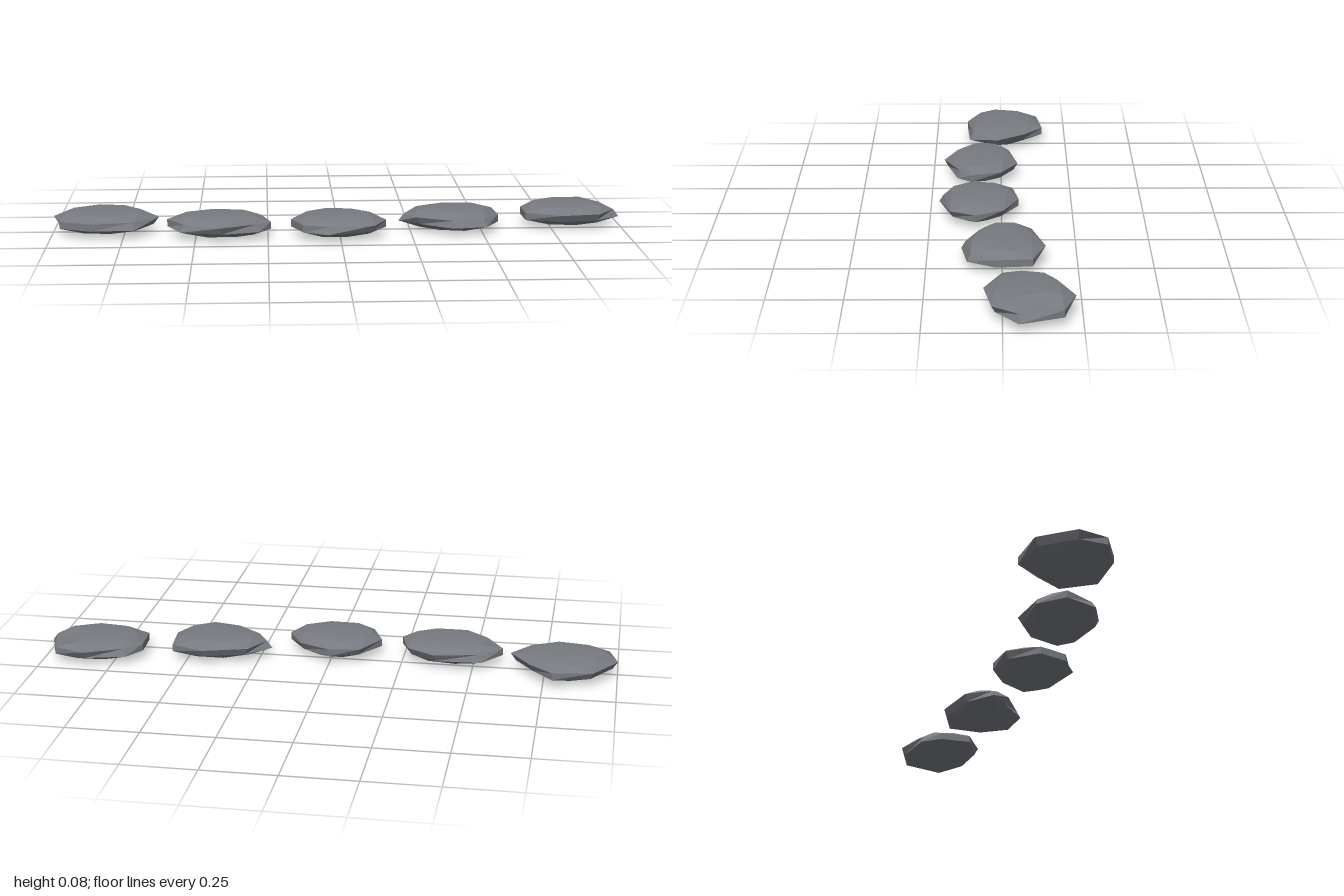
import * as THREE from 'three';

// Each stone: outline seen from above [x, z], and where its rim sticks out
// at each corner: U = upper edge, L = lower edge, B = both (upright facet).
const stones = [
  { rim: 'UUBUULBB', outline: [[-1, -0.02], [-0.92, -0.14], [-0.78, -0.16], [-0.7, -0.09], [-0.63, 0.01], [-0.71, 0.12], [-0.86, 0.13], [-0.97, 0.08]] },
  { rim: 'BLUUBLUL', outline: [[-0.6, 0.05], [-0.53, -0.04], [-0.37, -0.06], [-0.27, 0], [-0.24, 0.11], [-0.28, 0.16], [-0.41, 0.21], [-0.55, 0.16]] },
  { rim: 'BUBUBULB', outline: [[-0.17, 0.07], [-0.11, -0.04], [0, -0.06], [0.11, -0.01], [0.16, 0.09], [0.12, 0.18], [-0.045, 0.22], [-0.13, 0.17]] },
  { rim: 'LUUBBLLU', outline: [[0.21, -0.01], [0.28, -0.1], [0.435, -0.145], [0.55, -0.1], [0.56, 0.02], [0.51, 0.115], [0.39, 0.135], [0.27, 0.06]] },
  { rim: 'BLUBLUUB', dent: 3, outline: [[0.655, -0.11], [0.7, -0.18], [0.84, -0.23], [0.95, -0.19], [1, -0.05], [0.92, 0.035], [0.78, 0.06], [0.66, 0]] },
];

// Rings from bottom to top; shift staggers the corners along the outline
const rings = [
  { scale: 0.3, y: 0.005, shift: 0 },
  { scale: 0.72, y: 0.012, shift: 0.5 },
  { scale: 1, y: 0.03, shift: 1, inset: 'U' },
  { scale: 1, y: 0.055, shift: 1, inset: 'L' },
  { scale: 0.8, y: 0.074, shift: 1.5, top: true },
  { scale: 0.42, y: 0.08, shift: 2 },
];

function stoneGeometry({ outline, rim, dent }) {
  const n = outline.length;
  const cx = outline.reduce((s, p) => s + p[0], 0) / n;
  const cz = outline.reduce((s, p) => s + p[1], 0) / n;
  const positions = [cx, 0.001, cz];
  rings.forEach(({ scale, y, shift, inset, top }) => {
    for (let i = 0; i < n; i++) {
      const k = Math.floor(i + shift) % n;
      const f = shift % 1;
      const a = outline[k], b = outline[(k + 1) % n];
      let s = rim[k] === inset ? scale * 0.9 : scale;
      let h = y;
      // a chipped shoulder
      if (top && k === dent) { s *= 0.85; h -= 0.01; }
      positions.push(
        cx + (a[0] + (b[0] - a[0]) * f - cx) * s,
        h,
        cz + (a[1] + (b[1] - a[1]) * f - cz) * s);
    }
  });
  const apex = positions.length / 3;
  positions.push(cx, 0.082, cz);

  const index = [];
  const last = 1 + (rings.length - 1) * n;
  for (let i = 0; i < n; i++) {
    const j = (i + 1) % n;
    index.push(0, 1 + i, 1 + j, apex, last + j, last + i);
    for (let r = 0; r < rings.length - 1; r++) {
      const a = 1 + r * n, b = a + n;
      index.push(a + i, b + i, a + j, a + j, b + i, b + j);
    }
  }
  const geometry = new THREE.BufferGeometry();
  geometry.setAttribute('position', new THREE.Float32BufferAttribute(positions, 3));
  geometry.setIndex(index);
  // separate faces for flat facets
  const faceted = geometry.toNonIndexed();
  faceted.computeVertexNormals();
  return faceted;
}

export function createModel() {
  const group = new THREE.Group();
  group.name = 'steppingStones';
  const stoneGrey = new THREE.MeshStandardMaterial({ color: 0x777a80 });
  stoneGrey.name = 'stone grey';
  stones.forEach((stone, i) => {
    const mesh = new THREE.Mesh(stoneGeometry(stone), stoneGrey);
    mesh.name = `stone${i + 1}`;
    group.add(mesh);
  });
  return group;
}
